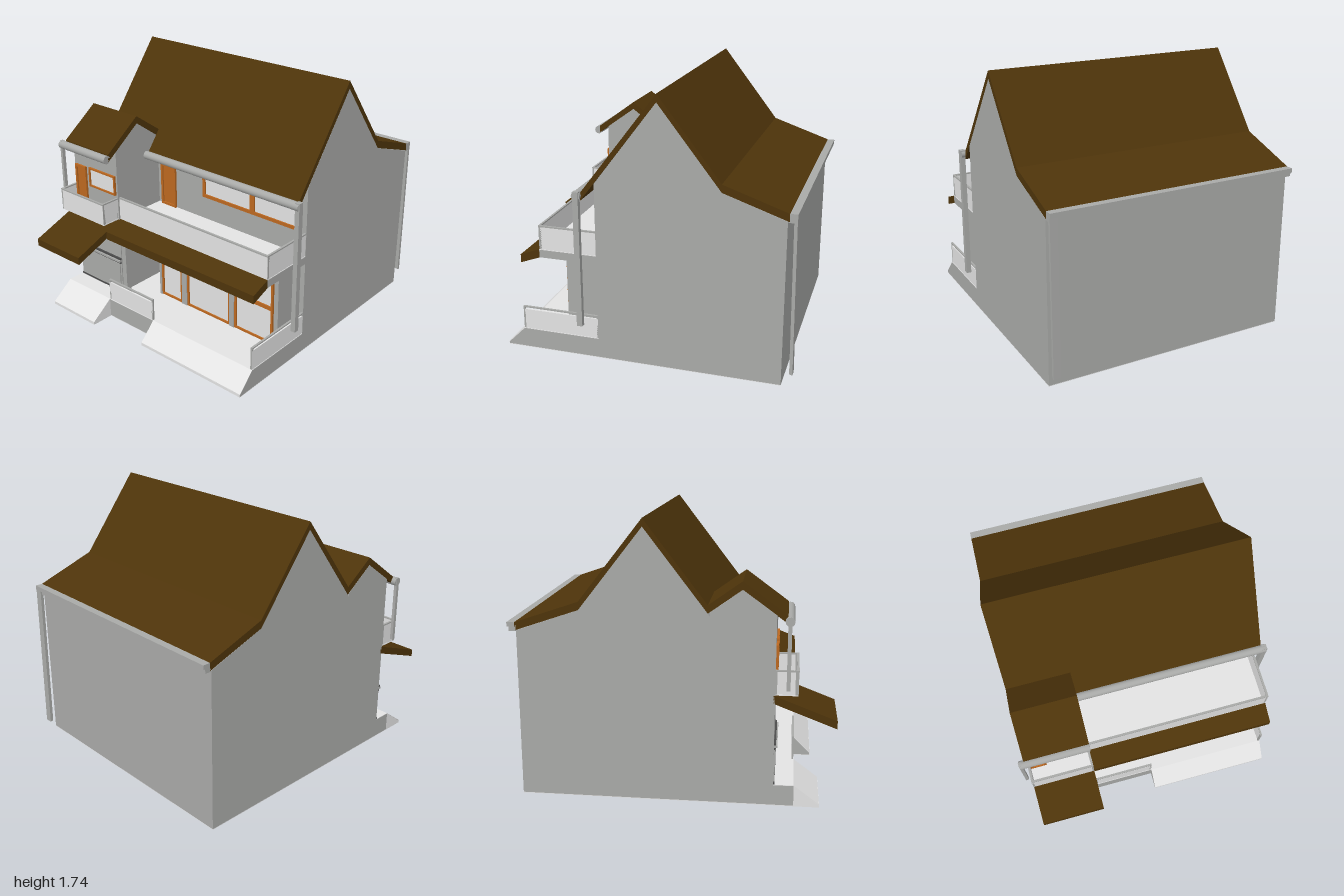
import * as THREE from 'three';

const material = (name, color) => {
  const m = new THREE.MeshStandardMaterial({ color });
  m.name = name;
  return m;
};

export function createModel() {
  const house = new THREE.Group();
  house.name = 'house';
  const wall = material('wall grey', 0xa9aaa8);
  const light = material('light grey', 0xe3e3e3);
  const roof = material('roof brown', 0x4e340a);
  const wood = material('orange wood', 0xbc6820);
  const dark = material('dark grey', 0x4c4c4c);

  const add = (name, geometry, mat) => {
    const mesh = new THREE.Mesh(geometry, mat);
    mesh.name = name;
    house.add(mesh);
  };
  // Box from its lower and upper limits
  const box = (name, mat, x0, x1, y0, y1, z0, z1) => {
    const g = new THREE.BoxGeometry(x1 - x0, y1 - y0, z1 - z0);
    g.translate((x0 + x1) / 2, (y0 + y1) / 2, (z0 + z1) / 2);
    add(name, g, mat);
  };
  // Side profile of [z, y] points, swept along x
  const sweep = (name, mat, points, x0, x1) => {
    const shape = new THREE.Shape(points.map(([z, y]) => new THREE.Vector2(-z, y)));
    const g = new THREE.ExtrudeGeometry(shape, { depth: x1 - x0, bevelEnabled: false });
    g.rotateY(Math.PI / 2);
    g.translate(x0, 0, 0);
    add(name, g, mat);
  };
  // Sloping sheet of constant height that follows a line of [z, y] points
  const sheet = (name, mat, line, t, x0, x1) =>
    sweep(name, mat, [...line, ...line.map(([z, y]) => [z, y - t]).reverse()], x0, x1);
  // Rectangular frame on a front wall, with a thin pane
  const framed = (name, x0, x1, y0, y1, z, f, pane, bars = {}) => {
    const z1 = z + 0.015;
    box(name + 'Pane', pane, x0 + f, x1 - f, y0 + f, y1 - f, z, z + 0.005);
    for (const x of [x0, x1 - f]) box(name + 'Stile', wood, x, x + f, y0, y1, z, z1);
    for (const y of [y0, y1 - f]) box(name + 'Rail', wood, x0 + f, x1 - f, y, y + f, z, z1);
    if (bars.y) box(name + 'Crossbar', wood, x0 + f, x1 - f, bars.y - 0.013, bars.y + 0.013, z, z1);
    if (bars.x) box(name + 'Mullion', wood, bars.x - 0.019, bars.x + 0.019, y0 + f, y1 - f, z, z1);
  };

  const L = -0.84, R = 0.84, M = -0.42, F = 0.135, B = 0.004;

  // Main house and front wing on a light foundation
  box('foundation', light, L, R, 0, B, -0.93, 0.755);
  sweep('mainWalls', wall, [[0.24, B], [0.24, 1.165], [-0.155, 1.685], [-0.545, 1.185], [-0.93, 1.05], [-0.93, B]], L, R);
  sweep('wingWalls', wall, [[0.63, B], [0.63, 1.185], [0.43, 1.33], [0.24, 1.19], [0.24, B]], L, M);

  // Roofs
  sheet('mainRoof', roof, [[0.228, 1.2335], [-0.155, 1.735], [-0.545, 1.235], [-0.94, 1.1]], 0.05, L, R);
  sheet('mainEaves', roof, [[0.33, 1.1], [0.228, 1.2335]], 0.05, M, R);
  sheet('wingRoof', roof, [[0.695, 1.185], [0.43, 1.38], [0.228, 1.234]], 0.05, L, M);
  sheet('garageCanopy', roof, [[1, 0.555], [0.62, 0.699]], 0.05, L, M);
  sheet('porchCanopy', roof, [[0.75, 0.65], [0.62, 0.699]], 0.055, M, R);

  // Porch base, floor and ramps
  box('porchBase', wall, M, R, B, F - 0.004, 0.24, 0.755);
  box('garageApron', wall, L, M, B, F - 0.004, 0.63, 0.755);
  box('porchFloor', light, M, R, F - 0.004, F, 0.24, 0.755);
  box('apronFloor', light, L, M, F - 0.004, F, 0.63, 0.755);
  const ramp = (name, mat, x0, x1, z1) => {
    box(name + 'Underside', light, x0, x1, 0, B, 0.755, z1);
    sweep(name, mat, [[0.755, B], [0.755, F - 0.006], [z1, 0.014], [z1, B]], x0, x1);
    sheet(name + 'Surface', light, [[0.755, F], [z1 + 0.002, 0.02]], 0.006, x0, x1);
    box(name + 'Lip', light, x0, x1, 0, 0.018, z1, z1 + 0.003);
  };
  ramp('garageRamp', light, L, M, 0.907);
  ramp('porchRamp', wall, 0, R, 0.867);

  // Garage shutter
  box('garageShutter', wall, L + 0.012, M - 0.012, 0.15, 0.355, 0.63, 0.638);
  box('garageSill', dark, L, M, F, 0.147, 0.63, 0.638);
  box('garageGap', dark, L, M, 0.358, 0.37, 0.63, 0.638);
  box('garageRail', wall, L, M, 0.372, 0.386, 0.63, 0.65);
  box('garageLintel', dark, L, M, 0.388, 0.401, 0.63, 0.642);

  // Lower front room with tall windows, pilasters between them
  box('frontRoom', wall, -0.207, 0.8, F, 0.65, 0.24, 0.455);
  for (const [x0, x1] of [[-0.19, -0.002], [0.045, 0.42], [0.46, 0.768]])
    framed('tallWindow', x0, x1, F + 0.002, 0.63, 0.455, 0.014, light, { y: 0.392 });
  for (const [x0, x1] of [[-0.207, -0.19], [0, 0.045], [0.42, 0.46]])
    box('pilaster', wall, x0, x1, F, 0.65, 0.455, 0.475);

  // Entrance
  box('entrancePanel', light, -0.4, -0.207, F, 0.65, 0.24, 0.246);
  box('entranceDoor', wood, -0.38, -0.255, F, 0.355, 0.246, 0.255);
  box('porchPost', wall, -0.418, -0.38, F, 0.65, 0.59, 0.625);

  // Balcony floors
  box('balconySlab', wall, M, R, 0.645, 0.696, 0.24, 0.62);
  box('balconyFloor', light, M, R, 0.696, 0.7, 0.24, 0.62);
  box('wingBalconyFloor', light, L, M, 0.7, 0.706, 0.63, 0.767);

  // Parapets: light panel, posts at the ends and a handrail
  const parapet = (name, x0, x1, z0, z1, y0, y1, gap) => {
    const alongX = x1 - x0 > z1 - z0;
    const e = 0.002;
    box(name + 'Panel', light, x0, x1, y0, y1 - 0.009 - gap, z0, z1);
    box(name + 'Handrail', wall, x0 - e, x1 + e, y1 - 0.009, y1, z0 - e, z1 + e);
    for (const end of [0, 1]) {
      const px = alongX && end ? x1 - 0.008 : x0, pz = !alongX && end ? z1 - 0.008 : z0;
      box(name + 'Post', wall, px - e, px + 0.008 + e, y0, y1, pz - e, pz + 0.008 + e);
    }
  };
  parapet('balconyFront', M, R - 0.004, 0.609, 0.619, 0.7, 0.857, 0);
  parapet('balconySide', 0.827, 0.837, 0.238, 0.609, 0.7, 0.857, 0);
  parapet('wingBalconyFront', L + 0.003, M - 0.003, 0.757, 0.767, 0.7, 0.855, 0);
  for (const x of [L + 0.003, M - 0.013])
    parapet('wingBalconySide', x, x + 0.01, 0.63, 0.757, 0.7, 0.855, 0);
  parapet('porchFront', M + 0.003, -0.004, 0.742, 0.752, F, 0.29, 0.013);
  parapet('porchSide', 0.827, 0.837, 0.238, 0.752, F, 0.29, 0.013);

  // Upper doors and windows
  framed('wingDoor', -0.826, -0.72, 0.706, 1.003, 0.63, 0.016, wood);
  framed('balconyDoor', -0.386, -0.252, 0.7, 1.003, 0.24, 0.016, wood);
  framed('wingWindow', -0.687, -0.434, 0.873, 1.01, 0.63, 0.011, light);
  framed('upperWindow', 0, 0.8, 0.862, 1.02, 0.24, 0.022, light, { x: 0.422 });

  // Gutters and downspouts
  const gutter = (name, x0, x1, y, z, r) => {
    const g = new THREE.CylinderGeometry(r, r, x1 - x0, 14);
    g.rotateZ(Math.PI / 2);
    g.translate((x0 + x1) / 2, y, z);
    add(name, g, wall);
  };
  gutter('wingGutter', -0.872, M, 1.153, 0.707, 0.028);
  gutter('mainGutter', M, 0.865, 1.083, 0.352, 0.028);
  box('backGutter', wall, L, R, 1.045, 1.1, -0.975, -0.932);
  box('backGutterLip', wall, L, R, 1.072, 1.1, -0.988, -0.975);
  box('wingDownspout', wall, -0.875, -0.855, 0.74, 1.18, 0.695, 0.718);
  box('mainDownspout', wall, 0.84, 0.872, 0.22, 1.11, 0.333, 0.37);
  sweep('backDownspout', wall, [[-0.985, 1.1], [-0.998, 0.08], [-0.978, 0.085], [-0.965, 1.1]], 0.79, R);
  return house;
}
